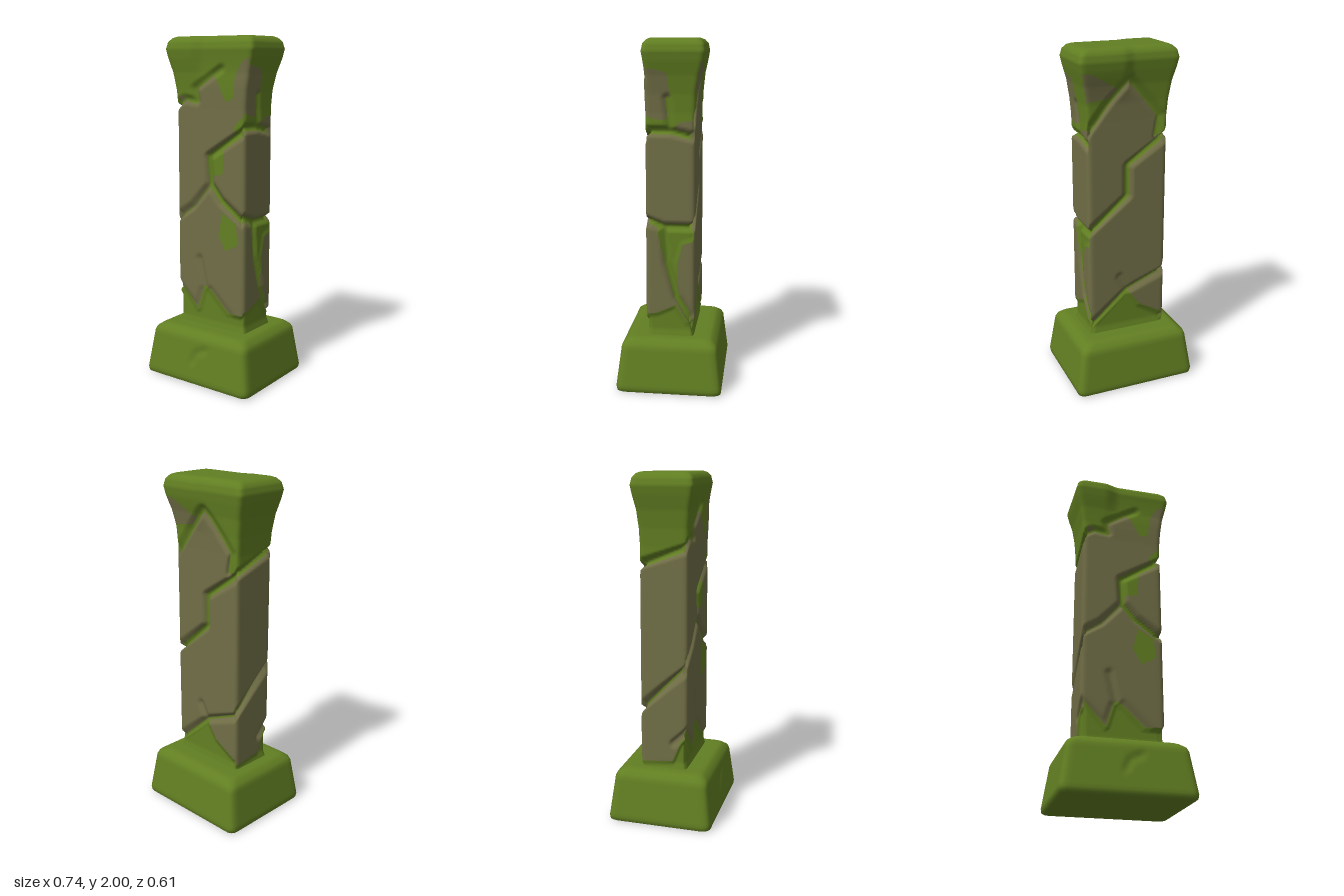
import * as THREE from 'three';

const stone = new THREE.MeshStandardMaterial({ color: 0x706e46 });
stone.name = 'stone';
const moss = new THREE.MeshStandardMaterial({ color: 0x627f22 });
moss.name = 'moss';

// Each side is drawn flat: a runs left to right as seen from outside, y is height.
// cracks: points, depth, half-width of the moss inside. moss: outline, depth of recess.
const front = {
  cracks: [
    { p: [[-0.27, 0.94], [-0.13, 1.03], [0, 1.17]], d: 0.02, w: 0.004 },
    { p: [[0, 1.17], [0.08, 1.08], [0.27, 0.95]], d: 0.03, w: 0.016 },
    { p: [[0, 1.17], [-0.01, 1.33], [0.27, 1.5]], d: 0.03, w: 0.018 },
    { p: [[-0.27, 0.57], [-0.1, 0.41], [-0.06, 0.53], [0, 0.54], [0.25, 0.31]], d: 0.01, w: 0 },
    { p: [[-0.04, 0.55], [-0.08, 0.72]], d: 0.012, w: 0 },
    { p: [[-0.27, 1.6], [-0.18, 1.65], [-0.09, 1.64], [-0.1, 1.71], [0.07, 1.82]], d: 0.016, w: 0.006 }
  ],
  moss: [
    { p: [[-0.3, 0.59], [-0.24, 0.56], [-0.1, 0.41], [-0.05, 0.56], [0, 0.54], [0.13, 0.42], [0.3, 0.42], [0.3, 0.2], [-0.3, 0.2]], d: 0.016 },
    { p: [[-0.3, 1.58], [-0.24, 1.59], [-0.21, 1.68], [-0.17, 1.64], [-0.1, 1.62], [-0.1, 1.71], [0.03, 1.79],
      [0.11, 1.64], [0.16, 1.66], [0.16, 1.78], [0.19, 1.86], [0.3, 1.93], [0.3, 2.1], [-0.3, 2.1]], d: 0 },
    { p: [[0.06, 0.88], [0.09, 1.01], [0.18, 0.96], [0.2, 0.84], [0.11, 0.79]], d: 0 },
    { p: [[0, 1.22], [0, 1.32], [0.1, 1.37], [0.09, 1.23]], d: 0 },
    { p: [[0.16, 1.5], [0.2, 1.54], [0.3, 1.62], [0.3, 1.47], [0.2, 1.45]], d: 0 }
  ]
};
const right = {
  cracks: [
    { p: [[-0.18, 1.5], [0, 1.5], [0.18, 1.46]], d: 0.028, w: 0.018 },
    { p: [[-0.18, 1.01], [-0.04, 0.96], [0.18, 0.96]], d: 0.028, w: 0.018 },
    { p: [[-0.04, 0.96], [-0.02, 0.75], [0.04, 0.55], [0.16, 0.36]], d: 0.025, w: 0.018 },
    { p: [[0, 1.5], [-0.02, 1.68]], d: 0.016, w: 0.01 }
  ],
  moss: [
    { p: [[-0.2, 2.1], [-0.2, 1.86], [-0.03, 1.82], [0, 1.7], [0, 1.57], [-0.06, 1.56], [-0.2, 1.6], [-0.2, 1.48],
      [0, 1.49], [0.05, 1.55], [0.2, 1.57], [0.2, 2.1]], d: 0 },
    { p: [[-0.08, 0.97], [-0.06, 0.85], [-0.02, 0.7], [0.04, 0.55], [0.04, 0.75], [0.07, 0.86], [0.2, 0.9], [0.2, 0.97]], d: 0.006 },
    { p: [[-0.2, 0.43], [-0.08, 0.45], [0.03, 0.5], [0.1, 0.4], [0.2, 0.38], [0.2, 0.2], [-0.2, 0.2]], d: 0.01 }
  ]
};
const back = {
  cracks: [
    { p: [[-0.27, 0.95], [0, 1.16], [0, 1.34], [0.27, 1.51]], d: 0.03, w: 0.016 },
    { p: [[-0.27, 1.52], [-0.12, 1.7], [0, 1.83], [0.2, 1.61], [0.18, 1.5]], d: 0.018, w: 0.01 },
    { p: [[-0.27, 0.35], [0, 0.57], [0.27, 0.67]], d: 0.024, w: 0.006 },
    { p: [[0, 0.57], [-0.05, 0.66]], d: 0.014, w: 0 }
  ],
  moss: [
    { p: [[-0.3, 2.1], [-0.3, 1.88], [-0.19, 1.87], [-0.07, 1.78], [0, 1.83], [0.1, 1.72], [0.2, 1.61], [0.17, 1.5], [0.3, 1.52], [0.3, 2.1]], d: 0 },
    { p: [[-0.3, 1.5], [-0.3, 1.7], [-0.2, 1.72], [-0.1, 1.73], [-0.24, 1.55]], d: 0 },
    { p: [[-0.3, 0.34], [-0.2, 0.4], [0, 0.57], [0.08, 0.46], [0.3, 0.34], [0.3, 0.2], [-0.3, 0.2]], d: 0.016 }
  ]
};
const left = {
  cracks: [
    { p: [[-0.18, 1.49], [0.18, 1.61]], d: 0.03, w: 0.018 },
    { p: [[-0.18, 0.64], [0, 0.8], [0.18, 0.95]], d: 0.026, w: 0.006 },
    { p: [[0.18, 0.58], [0.06, 0.47]], d: 0.016, w: 0 }
  ],
  moss: [
    { p: [[-0.2, 1.49], [0.2, 1.61], [0.2, 2.1], [-0.2, 2.1]], d: 0 },
    { p: [[-0.2, 0.34], [0.05, 0.36], [0.1, 0.48], [0.2, 0.56], [0.2, 0.2], [-0.2, 0.2]], d: 0.012 }
  ]
};
const plain = { cracks: [], moss: [] };
const dented = { cracks: [{ p: [[-0.02, 0.14], [0.0, 0.19], [0.07, 0.22]], d: 0.008, w: 0 }], moss: [] };

const smooth = THREE.MathUtils.smoothstep;

function segmentDistance(a, y, p, q) {
  const dx = q[0] - p[0], dy = q[1] - p[1];
  const t = THREE.MathUtils.clamp(((a - p[0]) * dx + (y - p[1]) * dy) / (dx * dx + dy * dy), 0, 1);
  return Math.hypot(a - p[0] - t * dx, y - p[1] - t * dy);
}

function lineDistance(a, y, pts) {
  let best = 9;
  for (let i = 1; i < pts.length; i++) best = Math.min(best, segmentDistance(a, y, pts[i - 1], pts[i]));
  return best;
}

// Positive inside the outline, negative outside
function insideDistance(a, y, pts) {
  let inside = false;
  pts.forEach((p, i) => {
    const q = pts[(i + 1) % pts.length];
    if ((p[1] > y) !== (q[1] > y) && a < p[0] + (y - p[1]) / (q[1] - p[1]) * (q[0] - p[0])) inside = !inside;
  });
  const d = lineDistance(a, y, [...pts, pts[0]]);
  return inside ? d : -d;
}

// How deep the surface is cut and whether it is mossy (above zero)
function surfaceAt(side, a, y) {
  let depth = 0, mossy = -1;
  for (const c of side.cracks) {
    const d = lineDistance(a, y, c.p);
    depth = Math.max(depth, c.d * (1 - smooth(d, 0.004, 0.034)));
    if (c.w) mossy = Math.max(mossy, c.w - d);
  }
  for (const m of side.moss) {
    const d = insideDistance(a, y, m.p);
    depth = Math.max(depth, m.d * smooth(d, 0, 0.025));
    mossy = Math.max(mossy, d);
  }
  return { depth, mossy };
}

// Loft of rounded rectangles; rows are [y, halfX, halfZ]; sides in order front, right, back, left
function loft(rows, sides, size, radius, warp, allMoss) {
  const pos = [], field = [], counts = [42, 28, 42, 28], cols = 140;
  for (const [y, hx0, hz0] of rows) {
    for (let s = 0; s < 4; s++) for (let i = 0; i < counts[s]; i++) {
      const t = i / counts[s] * 2 - 1;
      const { depth, mossy } = surfaceAt(sides[s], t * size[s % 2], y);
      const hx = hx0 - depth, hz = hz0 - depth;
      let [x, z] = [[t * hx, hz], [hx, -t * hz], [-t * hx, -hz], [-hx, t * hz]][s];
      const cx = Math.sign(x) * (hx - radius), cz = Math.sign(z) * (hz - radius);
      if (Math.abs(x) > hx - radius && Math.abs(z) > hz - radius) {
        const l = Math.hypot(x - cx, z - cz);
        x = cx + (x - cx) / l * radius;
        z = cz + (z - cz) / l * radius;
      }
      pos.push(x, y, z + warp(x, y, z));
      field.push(allMoss ? 1 : mossy);
    }
  }
  const lists = [[], []], cuts = new Map();
  const cut = (i, j) => {
    const key = Math.min(i, j) + '_' + Math.max(i, j);
    if (!cuts.has(key)) {
      const t = field[i] / (field[i] - field[j]);
      cuts.set(key, pos.length / 3);
      for (let k = 0; k < 3; k++) pos.push(pos[i * 3 + k] + t * (pos[j * 3 + k] - pos[i * 3 + k]));
    }
    return cuts.get(key);
  };
  // Splits a triangle cleanly along the stone and moss border
  const tri = (...v) => {
    for (const m of [0, 1]) {
      const poly = [];
      v.forEach((i, k) => {
        const j = v[(k + 1) % 3];
        if ((field[i] > 0) === (m === 1)) poly.push(i);
        if ((field[i] > 0) !== (field[j] > 0)) poly.push(cut(i, j));
      });
      for (let k = 2; k < poly.length; k++) lists[m].push(poly[0], poly[k - 1], poly[k]);
    }
  };
  for (let r = 0; r < rows.length - 1; r++) for (let c = 0; c < cols; c++) {
    const n = (c + 1) % cols, a = r * cols + c, b = r * cols + n;
    tri(a, b, b + cols);
    tri(a, b + cols, a + cols);
  }
  // Flat caps
  const bottom = pos.length / 3, last = (rows.length - 1) * cols;
  pos.push(0, rows[0][0], 0, 0, rows[rows.length - 1][0], 0);
  for (let c = 0; c < cols; c++) {
    const n = (c + 1) % cols;
    lists[1].push(bottom, n, c, bottom + 1, last + c, last + n);
  }
  const geo = new THREE.BufferGeometry();
  geo.setAttribute('position', new THREE.Float32BufferAttribute(pos, 3));
  geo.setIndex([...lists[0], ...lists[1]]);
  geo.addGroup(0, lists[0].length, 0);
  geo.addGroup(lists[0].length, lists[1].length, 1);
  geo.computeVertexNormals();
  return geo;
}

export function createModel() {
  const group = new THREE.Group();

  // Column shaft flaring into the capital
  const profile = [[0.29, 0.255, 0.155], [0.35, 0.24, 0.142], [1.6, 0.24, 0.14], [1.7, 0.248, 0.143], [1.8, 0.264, 0.152],
    [1.88, 0.285, 0.168], [1.93, 0.295, 0.176], [1.97, 0.285, 0.168], [1.992, 0.265, 0.15], [2, 0.245, 0.13]];
  const rows = [];
  for (let k = 1; k < profile.length; k++) {
    const p = profile[k - 1], q = profile[k], n = Math.ceil((q[0] - p[0]) / 0.012);
    for (let i = 0; i < n; i++) rows.push(p.map((v, j) => v + (q[j] - v) * i / n));
  }
  rows.push(profile[profile.length - 1], [2, 0.22, 0.11]);
  // The capital is thicker at front left and back right
  const warp = (x, y, z) => smooth(y, 1.68, 1.9) * (z > 0
    ? 0.004 - 0.025 * smooth(x, -0.12, -0.02) : -0.017 * smooth(x, -0.03, 0.05));
  const column = new THREE.Mesh(loft(rows, [front, right, back, left], [0.24, 0.14], 0.026, warp, false), [stone, moss]);
  column.name = 'crackedColumn';

  // Mossy plinth
  const baseRows = [[0, 0.34, 0.275], [0, 0.355, 0.29], [0.008, 0.366, 0.302], [0.03, 0.37, 0.305]];
  for (let i = 1; i <= 12; i++) baseRows.push([0.03 + i * 0.0195, 0.37 - i * 0.0029, 0.305 - i * 0.0024]);
  baseRows.push([0.285, 0.326, 0.267], [0.305, 0.3, 0.244], [0.313, 0.285, 0.228], [0.314, 0.26, 0.2]);
  const base = new THREE.Mesh(loft(baseRows, [dented, plain, plain, plain], [0.36, 0.29], 0.04, () => 0, true), [stone, moss]);
  base.name = 'mossyBase';

  group.add(column, base);
  return group;
}
